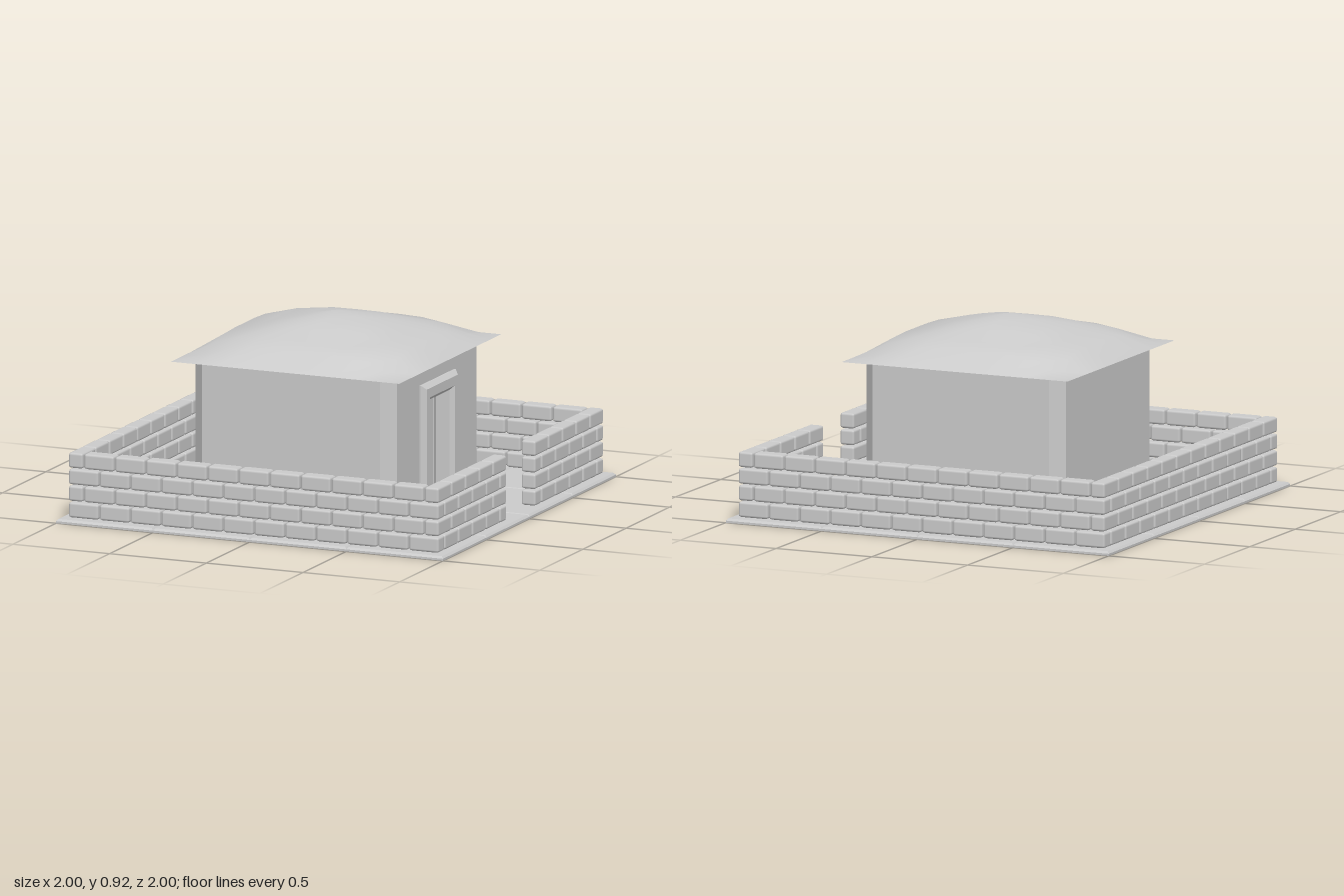
import * as THREE from 'three';
import { RoundedBoxGeometry } from 'three/addons/geometries/RoundedBoxGeometry.js';

const smooth = new THREE.MeshStandardMaterial({ color: 0xcccccc });
const flat = new THREE.MeshStandardMaterial({ color: 0xcccccc, flatShading: true });
const thin = new THREE.MeshStandardMaterial({ color: 0xcccccc, side: THREE.DoubleSide });

function add(parent, name, geometry, material, x = 0, y = 0, z = 0) {
  const mesh = new THREE.Mesh(geometry, material);
  mesh.name = name;
  mesh.position.set(x, y, z);
  parent.add(mesh);
  return mesh;
}

function group(parent, name) {
  const g = new THREE.Group();
  g.name = name;
  parent.add(g);
  return g;
}

// Paving: 4 x 4 slabs with a chamfered top edge
function buildFloor(parent) {
  const floor = group(parent, 'floor');
  const slab = new THREE.BoxGeometry(0.5, 0.02, 0.5, 1, 2, 1);
  const p = slab.attributes.position;
  for (let i = 0; i < p.count; i++) {
    if (p.getY(i) > 0.005) {
      p.setX(i, p.getX(i) * 0.965);
      p.setZ(i, p.getZ(i) * 0.965);
    }
  }
  for (let i = 0; i < 4; i++) {
    for (let j = 0; j < 4; j++) add(floor, 'slab', slab, flat, -0.75 + i * 0.5, 0.01, -0.75 + j * 0.5);
  }
}

// Yard wall: four courses of chamfered bricks, interlocked at the corners
function buildYardWall(parent) {
  const wall = group(parent, 'yardWall');
  const L = 0.16, T = 0.08, gap = 0.006;
  const brick = (length) => new RoundedBoxGeometry(length - gap, T - gap, T - gap, 1, 0.012);
  const full = brick(L), half = brick(L / 2);
  const c = 0.92;

  // Lays bricks along one side from a to b; runs along x or z
  function row(a, b, y, alongX, side) {
    for (let s = a; s < b - 0.01; s += L) {
      const isHalf = b - s < L - 0.01;
      const mid = s + (isHalf ? L / 4 : L / 2);
      const m = add(wall, 'brick', isHalf ? half : full, smooth, alongX ? mid : side, y, alongX ? side : mid);
      if (!alongX) m.rotation.y = Math.PI / 2;
    }
  }

  for (let k = 0; k < 4; k++) {
    const y = 0.06 + k * T;
    const ex = k % 2 ? 0.88 : 0.96;
    const ez = k % 2 ? 0.96 : 0.88;
    row(-ex, ex, y, true, c);
    row(-ex, ex, y, true, -c);
    row(-ez, ez, y, false, -c);
    // gateway side: half bricks finish the short courses at the opening
    row(-ez, -0.16, y, false, c);
    if (k % 2) {
      row(0.16, ez, y, false, c);
    } else {
      row(0.16, 0.24, y, false, c);
      row(0.24, ez, y, false, c);
    }
  }
}

// Upright prism from a plan outline of [x, z] points
function prism(points, y0, y1) {
  const shape = new THREE.Shape(points.map(([x, z]) => new THREE.Vector2(x, -z)));
  const g = new THREE.ExtrudeGeometry(shape, { depth: y1 - y0, bevelEnabled: false });
  return g.rotateX(-Math.PI / 2).translate(0, y0, 0);
}

function buildHouse(parent) {
  const house = group(parent, 'house');
  const a = 0.52, b = 0.46, doorHalf = 0.14, doorTop = 0.58, back = 0.44;
  const outline = [[a, b], [b, a], [-b, a], [-a, b], [-a, -b], [-b, -a], [b, -a], [a, -b]];
  const notch = [[a, -doorHalf], [back, -doorHalf], [back, doorHalf], [a, doorHalf]];

  // Walls with cut corners; the lower part has the door recess
  add(house, 'lowerWalls', prism([...outline, ...notch], 0.01, doorTop), flat);
  add(house, 'upperWalls', prism(outline, doorTop, 0.735), flat);

  // Door surround
  const frame = new THREE.Shape();
  [[-0.18, 0.02], [-0.145, 0.02], [-0.145, 0.575], [0.145, 0.575], [0.145, 0.02], [0.18, 0.02],
    [0.18, 0.62], [-0.18, 0.62]].forEach(([x, y], i) => (i ? frame.lineTo(x, y) : frame.moveTo(x, y)));
  const surround = new THREE.ExtrudeGeometry(frame, {
    depth: 0.07, bevelThickness: 0.02, bevelSize: 0.02, bevelSegments: 1,
  });
  surround.rotateY(Math.PI / 2);
  add(house, 'doorFrame', surround, flat, 0.46);

  // Roof: a softly domed square grid, level along its eaves
  const profile = [0.92, 0.898, 0.875, 0.837, 0.815, 0.735];
  const size = 1.18, eave = size / 2;
  const roof = new THREE.PlaneGeometry(size, size, 10, 10).rotateX(-Math.PI / 2);
  const p = roof.attributes.position;
  for (let i = 0; i < p.count; i++) {
    const r = Math.pow(p.getX(i) ** 4 + p.getZ(i) ** 4, 0.25);
    const t = Math.min(r / eave, 1) * 5;
    const k = Math.min(Math.floor(t + 1e-6), 4);
    p.setY(i, THREE.MathUtils.lerp(profile[k], profile[k + 1], t - k));
  }
  roof.computeVertexNormals();
  add(house, 'roof', roof, thin);
  const soffit = new THREE.PlaneGeometry(size, size).rotateX(Math.PI / 2);
  add(house, 'soffit', soffit, flat, 0, 0.734, 0);
}

export function createModel() {
  const model = new THREE.Group();
  model.name = 'walledHut';
  buildFloor(model);
  buildYardWall(model);
  buildHouse(model);
  return model;
}
